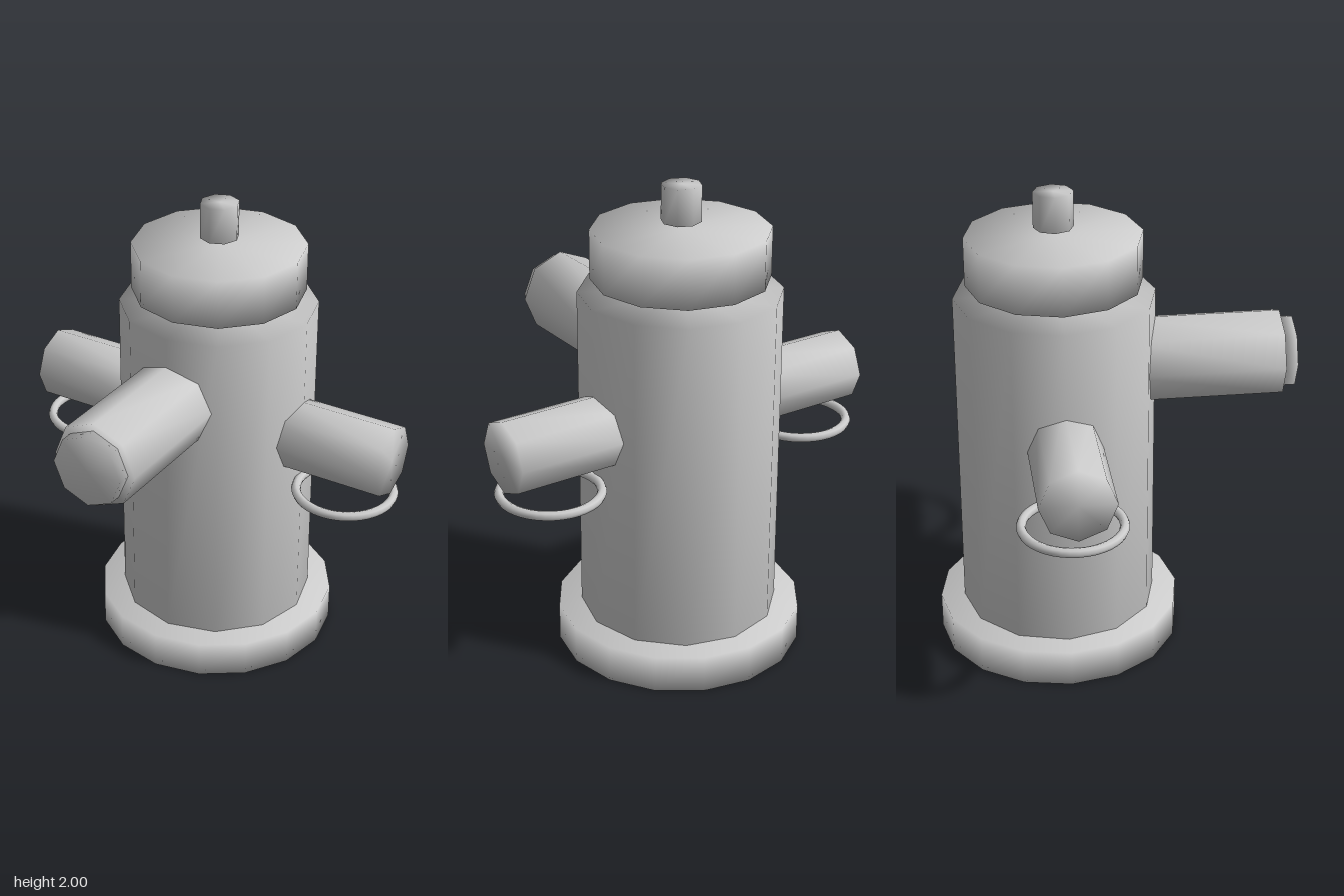
import * as THREE from 'three';
import { mergeVertices } from 'three/addons/utils/BufferGeometryUtils.js';

const material = new THREE.MeshStandardMaterial({ color: 0xcccccc });
const AXIS_Z = -0.235; // the barrel's centre line

// Cylinder between two positions on an axis, with normals smoothed over its rims
function drum(name, axis, radius, from, to, sides) {
  let geometry = new THREE.CylinderGeometry(radius, radius, to - from, sides);
  geometry.deleteAttribute('normal');
  geometry.deleteAttribute('uv');
  geometry = mergeVertices(geometry);
  geometry.translate(0, (from + to) / 2, 0);
  if (axis === 'x') geometry.rotateZ(-Math.PI / 2);
  if (axis === 'z') geometry.rotateX(Math.PI / 2);
  geometry.computeVertexNormals();
  const mesh = new THREE.Mesh(geometry, material);
  mesh.name = name;
  return mesh;
}

export function createModel() {
  const model = new THREE.Group();
  model.name = 'fireHydrant';

  // Upright stack: base, barrel, bonnet and top nut, with small gaps at the top
  const stack = [
    ['baseFlange', 0.517, 0, 0.157, 16],
    ['barrel', 0.415, 0.157, 1.56, 12],
    ['bonnet', 0.363, 1.615, 1.82, 12],
    ['topNut', 0.082, 1.85, 2, 8],
  ];
  for (const [name, radius, from, to, sides] of stack) {
    const part = drum(name, 'y', radius, from, to, sides);
    part.position.z = AXIS_Z;
    model.add(part);
  }

  // Front outlet and its narrower cap
  const front = new THREE.Group();
  front.name = 'frontOutlet';
  front.position.y = 1.25;
  front.add(drum('frontNozzle', 'z', 0.185, 0.05, 0.7, 8));
  front.add(drum('frontNozzleCap', 'z', 0.154, 0.7, 0.755, 8));
  model.add(front);

  // Side outlets, each with a ring lying flat below it
  for (const [side, sign] of [['left', 1], ['right', -1]]) {
    const outlet = new THREE.Group();
    outlet.name = side + 'Outlet';
    outlet.position.z = AXIS_Z;
    const range = sign > 0 ? [0.3, 0.83] : [-0.83, -0.3];
    const nozzle = drum(side + 'Nozzle', 'x', 0.154, ...range, 8);
    nozzle.position.y = 1.04;

    const ring = new THREE.Mesh(
      new THREE.TorusGeometry(0.205, 0.02, 8, 40).rotateX(Math.PI / 2), material);
    ring.name = side + 'Ring';
    ring.position.set(sign * 0.622, 0.835, 0);

    outlet.add(nozzle, ring);
    model.add(outlet);
  }
  return model;
}
